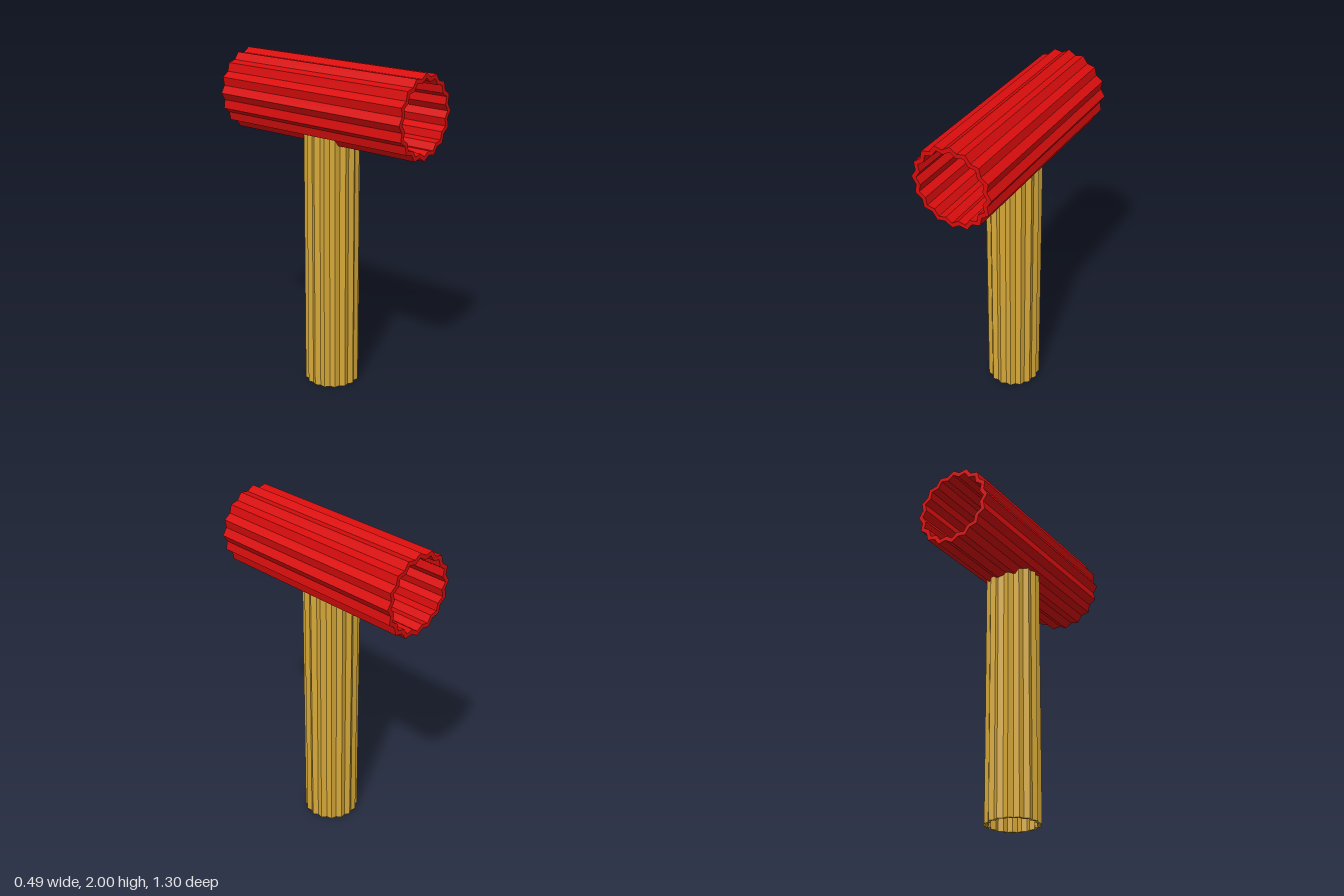
import * as THREE from 'three';

const RIDGES = 16;

// Points of a closed zigzag ring, ridges on the axes
function zigzag(peak, valley) {
  const pts = [];
  for (let i = 0; i < RIDGES * 2; i++) {
    const a = (i * Math.PI) / RIDGES;
    const r = i % 2 ? valley : peak;
    pts.push(new THREE.Vector2(Math.cos(a) * r, Math.sin(a) * r));
  }
  return pts;
}

// Hollow ridged tube along z, starting at z = 0
function ridgedTube(outer, inner, length) {
  const shape = new THREE.Shape(zigzag(...outer));
  shape.holes.push(new THREE.Path(zigzag(...inner)));
  return new THREE.ExtrudeGeometry(shape, { depth: length, bevelEnabled: false });
}

function part(name, geometry, material) {
  const mesh = new THREE.Mesh(geometry, material);
  mesh.name = name;
  return mesh;
}

export function createModel() {
  const red = new THREE.MeshStandardMaterial({ color: 0xd90d0d, flatShading: true });
  red.name = 'red';
  const gold = new THREE.MeshStandardMaterial({ color: 0xd6a838, flatShading: true });
  gold.name = 'gold';

  const group = new THREE.Group();
  group.name = 'hammer';

  // Head: open tube running front to back
  const headGeometry = ridgedTube([0.245, 0.222], [0.217, 0.195], 1.3);
  headGeometry.translate(0, 1.755, -0.65);
  group.add(part('head', headGeometry, red));

  // Handle: open upright tube, its top poking into the head
  const handleGeometry = ridgedTube([0.165, 0.15], [0.148, 0.134], 1.577);
  handleGeometry.rotateX(-Math.PI / 2);
  group.add(part('handle', handleGeometry, gold));

  return group;
}
